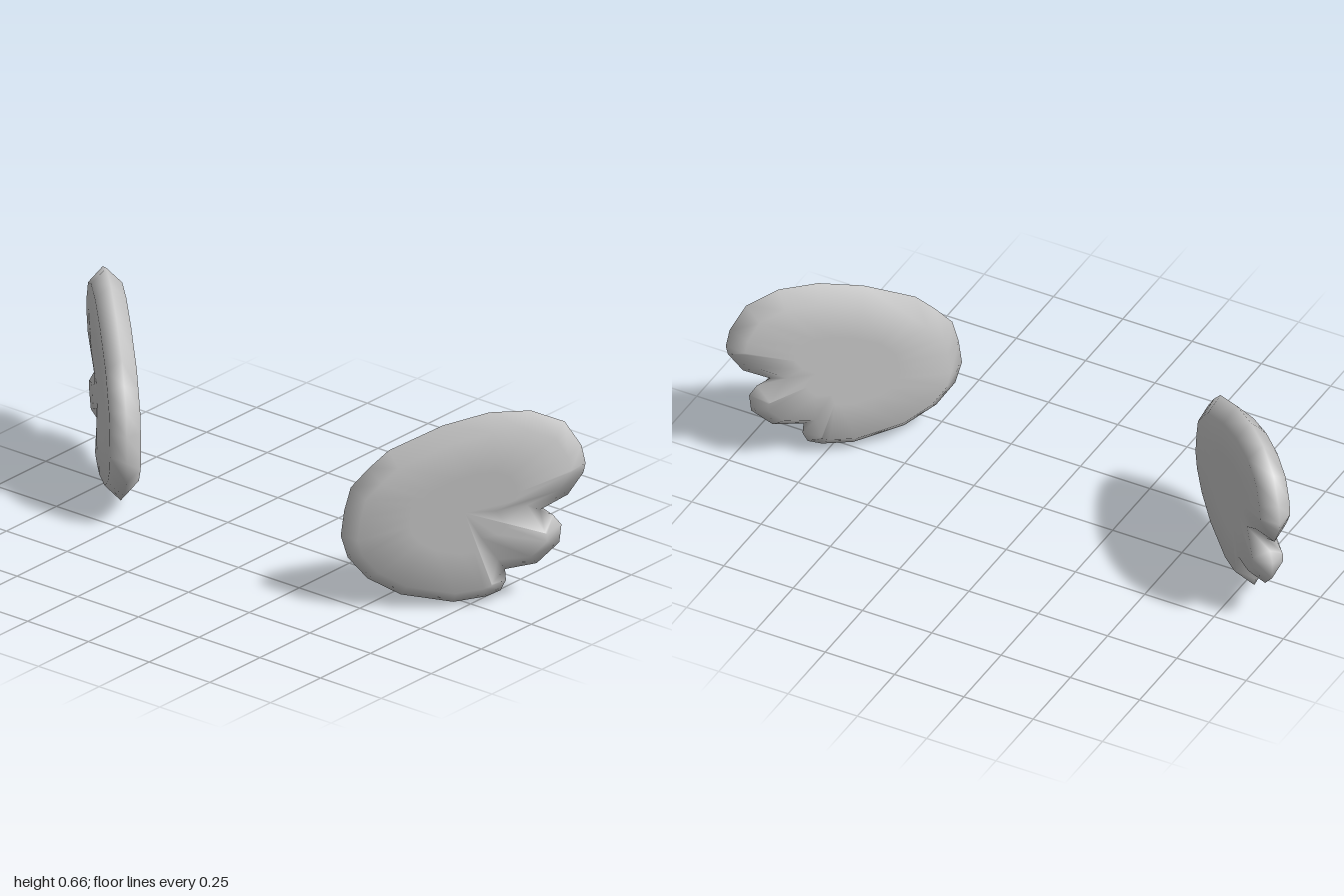
import * as THREE from 'three';

// Wing outline, clockwise seen from outside: [distance along wing, height]
const OUTLINE = [
  [0.083, 0.655], [0.215, 0.657], [0.323, 0.615], [0.377, 0.53], [0.39, 0.468],
  [0.383, 0.435], [0.333, 0.36], [0.244, 0.31], [0.287, 0.29], [0.313, 0.257],
  [0.306, 0.195], [0.234, 0.125], [0.133, 0.108], [0.136, 0.07], [0.119, 0.035],
  [0.072, 0.015], [-0.032, 0], [-0.2, 0.032], [-0.306, 0.092], [-0.369, 0.167],
  [-0.391, 0.243], [-0.38, 0.33], [-0.359, 0.41], [-0.301, 0.475], [-0.237, 0.535],
  [-0.065, 0.615],
];
const NOTCHES = [7, 12]; // gaps between the feather lobes
const CENTRE = [0, 0.33];
const HALF = 0.05;

// Outline moved inwards along its own normals
function inset(amount) {
  const n = OUTLINE.length;
  return OUTLINE.map(([u, y], i) => {
    const p = OUTLINE[(i + n - 1) % n], q = OUTLINE[(i + 1) % n];
    const du = q[0] - p[0], dy = q[1] - p[1], len = Math.hypot(du, dy);
    return [u + (dy / len) * amount, y - (du / len) * amount];
  });
}

function shrink(ring, t) {
  return ring.map(([u, y]) => [
    THREE.MathUtils.lerp(u, CENTRE[0], t), THREE.MathUtils.lerp(y, CENTRE[1], t)]);
}

function wingGeometry(side) {
  const n = OUTLINE.length;
  const face = inset(0.05);
  // Cross-sections from the outer face, over the rim, to the flat inner face
  const rings = [
    { pts: shrink(face, 0.5), depth: () => HALF },
    { pts: face, depth: (i) => (NOTCHES.includes(i) ? 0.022 : HALF) },
    { pts: OUTLINE, depth: () => 0 },
    { pts: face, depth: () => -HALF },
    { pts: shrink(face, 0.5), depth: () => -HALF },
  ];
  const pos = [], idx = [];
  const add = (u, y, d) => pos.push(
    side * (0.72 + 0.717 * u + 0.697 * d), y, -0.697 * u + 0.717 * d);
  const tri = (a, b, c) => (side > 0 ? idx.push(a, b, c) : idx.push(a, c, b));

  rings.forEach(({ pts, depth }) => pts.forEach(([u, y], i) => add(u, y, depth(i))));
  const outer = rings.length * n, inner = outer + 1, last = (rings.length - 1) * n;
  add(...CENTRE, HALF);
  add(...CENTRE, -HALF);

  for (let i = 0; i < n; i++) {
    const j = (i + 1) % n;
    for (let k = 0; k < last; k += n) {
      tri(k + i, k + j, k + n + i);
      tri(k + j, k + n + j, k + n + i);
    }
    tri(outer, j, i);
    tri(inner, last + i, last + j);
  }
  const geo = new THREE.BufferGeometry();
  geo.setAttribute('position', new THREE.Float32BufferAttribute(pos, 3));
  geo.setIndex(idx);
  geo.computeVertexNormals();
  return geo;
}

export function createModel() {
  const group = new THREE.Group();
  group.name = 'wings';
  const grey = new THREE.MeshStandardMaterial({ color: 0xcccccc });
  grey.name = 'light grey';

  // Mirrored pair of wings, swept back and outwards
  for (const [name, side] of [['leftWing', 1], ['rightWing', -1]]) {
    const wing = new THREE.Mesh(wingGeometry(side), grey);
    wing.name = name;
    group.add(wing);
  }
  return group;
}
